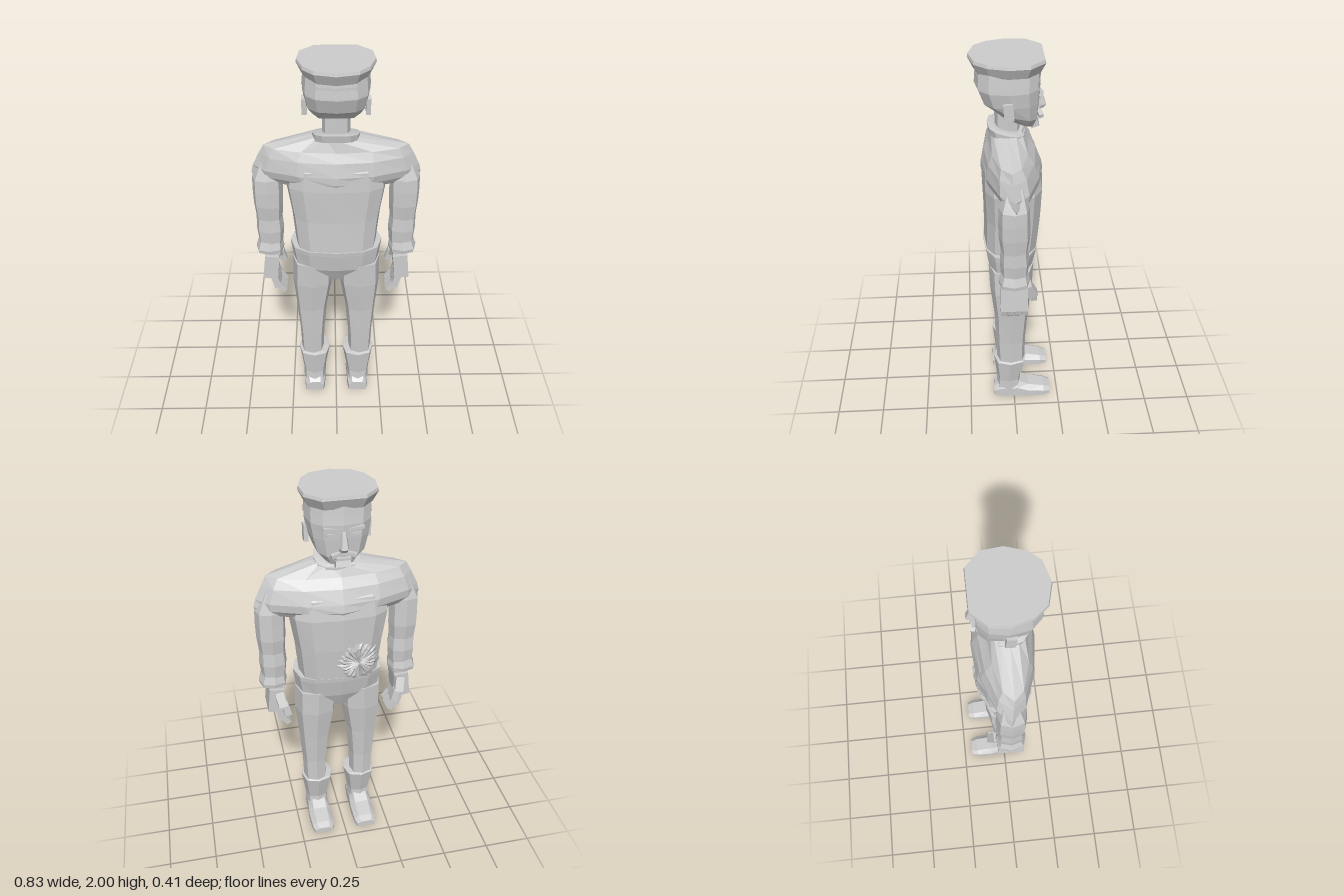
import * as THREE from 'three';

const grey = new THREE.MeshStandardMaterial({ color: 0xcccccc, flatShading: true });
grey.name = 'plain grey';

// Ring of n points: half width w, z extents zf (face side, negative) to zb, corner power p, slope dy/dz
function ring(y, w, zf, zb, { cx = 0, n = 12, p = 0.75, slope = 0 } = {}) {
  const pts = [], cz = (zf + zb) / 2, d = (zb - zf) / 2;
  const pow = (v) => Math.sign(v) * Math.pow(Math.abs(v) < 1e-9 ? 0 : Math.abs(v), p);
  for (let i = 0; i < n; i++) {
    const a = (i / n) * Math.PI * 2, z = cz + d * pow(Math.sin(a));
    pts.push([cx + w * pow(Math.cos(a)), y + slope * z, z]);
  }
  return pts;
}

// Closed skin through rings ordered from bottom to top
function loft(name, rings) {
  const n = rings[0].length, pos = [], idx = [];
  rings.forEach((r) => r.forEach((q) => pos.push(...q)));
  for (let k = 0; k < rings.length - 1; k++) {
    for (let i = 0; i < n; i++) {
      const j = (i + 1) % n, a = k * n, b = a + n;
      idx.push(a + i, b + i, b + j, a + i, b + j, a + j);
    }
  }
  const top = (rings.length - 1) * n;
  for (let i = 1; i < n - 1; i++) {
    idx.push(0, i, i + 1, top, top + i + 1, top + i);
  }
  return skin(name, pos, idx);
}

function skin(name, pos, idx) {
  const g = new THREE.BufferGeometry();
  g.setAttribute('position', new THREE.Float32BufferAttribute(pos, 3));
  g.setIndex(idx);
  return mesh(name, g);
}

function mesh(name, g) {
  const flat = g.toNonIndexed();
  flat.computeVertexNormals();
  const m = new THREE.Mesh(flat, grey);
  m.name = name;
  return m;
}

function box(name, size, at, rot = [0, 0, 0]) {
  const m = mesh(name, new THREE.BoxGeometry(...size));
  m.position.set(...at);
  m.rotation.set(...rot);
  return m;
}

// Rows are [y, halfWidth, zFront, zBack, centreX]
const rows = (list, opt = {}, s = 1) =>
  list.map(([y, w, f, b, cx = 0]) => ring(y, w, f, b, { ...opt, cx: cx * s }));

function buildBody() {
  const g = new THREE.Group();
  g.name = 'body';
  g.add(loft('jacket', rows([
    [1.02, 0.205, -0.122, 0.148], [1.2, 0.222, -0.138, 0.146], [1.38, 0.25, -0.145, 0.152],
    [1.48, 0.235, -0.128, 0.148], [1.55, 0.18, -0.08, 0.11],
  ], { p: 0.65 })));
  // Lens-shaped shoulders that thin out towards the sleeves
  g.add(loft('shoulders', [
    ring(1.385, 0.4, -0.13, 0.14, { p: 1.6 }), ring(1.42, 0.413, -0.146, 0.155, { p: 1.35 }),
    ring(1.46, 0.403, -0.138, 0.155, { p: 1.15 }), ring(1.53, 0.37, -0.11, 0.14, { p: 1.05 }),
    ring(1.575, 0.345, -0.075, 0.118, { p: 1.05 }), ring(1.635, 0.1, -0.05, 0.105, { p: 1 }),
  ]));
  g.add(loft('trouserSeat', rows([
    [0.81, 0.1, -0.06, 0.09], [0.9, 0.218, -0.1, 0.135], [1.0, 0.233, -0.122, 0.152], [1.025, 0.235, -0.125, 0.155],
  ], { p: 0.75 })));
  g.add(loft('collar', [
    ring(1.6, 0.11, -0.06, 0.115, { slope: 0.25 }), ring(1.635, 0.113, -0.06, 0.122, { slope: 0.25 }),
    ring(1.64, 0.09, -0.04, 0.1, { slope: 0.25 }),
  ]));
  g.add(loft('neck', rows([[1.6, 0.068, -0.035, 0.085], [1.77, 0.065, -0.03, 0.085]], { n: 8 })));
  g.add(crumple());
  return g;
}

// Crumpled pleated patch following the front of the jacket
function crumple() {
  let seed = 7;
  const rnd = () => (seed = (seed * 16807) % 2147483647) / 2147483647;
  const n = 44, bands = 4, pos = [], idx = [];
  for (let k = 0; k <= bands; k++) {
    for (let i = 0; i < n; i++) {
      const a = (i / n) * Math.PI * 2, r = (k / bands) * (0.095 + 0.03 * rnd());
      const x = -0.08 + r * Math.cos(a), y = 1.115 + r * Math.sin(a);
      const t = Math.min(Math.abs(x) / 0.215, 0.98);
      const base = -(0.122 + (y - 1.02) * 0.089) * Math.pow(1 - Math.pow(t, 3.1), 0.325);
      const lift = k === bands ? -0.005 : (i % 2) * 0.006 + 0.006 * rnd();
      pos.push(x, y, base - lift);
    }
  }
  for (let k = 0; k < bands; k++) {
    for (let i = 0; i < n; i++) {
      const j = (i + 1) % n, a = k * n, b = a + n;
      idx.push(a + i, b + j, b + i, a + i, a + j, b + j);
    }
  }
  return skin('crumpledPatch', pos, idx);
}

function buildHead() {
  const g = new THREE.Group();
  g.name = 'head';
  g.add(loft('skull', [
    ring(1.7, 0.085, -0.1, 0.085, { slope: 0.45 }), ring(1.735, 0.122, -0.118, 0.108, { slope: 0.28 }),
    ring(1.79, 0.143, -0.125, 0.145), ring(1.86, 0.155, -0.128, 0.172), ring(1.92, 0.15, -0.12, 0.172),
  ]));
  g.add(loft('capBand', [
    ring(1.885, 0.157, -0.13, 0.176, { slope: -0.1 }), ring(1.95, 0.15, -0.125, 0.168),
  ]));
  // Cap crown outline: flat at the face side, pointed at the rear
  const half = [[0.0, 0.203], [0.1, 0.177], [0.15, 0.12], [0.18, 0.025], [0.17, -0.07], [0.1, -0.142]];
  const outline = [...half, ...half.slice(1).reverse().map(([x, z]) => [-x, z])].reverse();
  const crown = (y, k) => outline.map(([x, z]) => [x * k, y, 0.025 + (z - 0.025) * k]);
  g.add(loft('capCrown', [crown(1.935, 0.86), crown(1.985, 1), crown(2, 0.98)]));

  // Face
  g.add(loft('nose', rows([
    [1.735, 0.022, -0.143, -0.1], [1.752, 0.024, -0.158, -0.1], [1.83, 0.012, -0.132, -0.1],
  ], { n: 6 })));
  g.add(box('mouth', [0.07, 0.012, 0.02], [0, 1.697, -0.121]));
  g.add(box('chin', [0.07, 0.035, 0.04], [0, 1.665, -0.1], [0.35, 0, 0]));
  for (const s of [1, -1]) {
    g.add(box('ear', [0.022, 0.08, 0.045], [s * 0.148, 1.778, 0.025], [0.08, 0, 0]));
    g.add(box('brow', [0.07, 0.014, 0.016], [s * 0.06, 1.842, -0.121], [0, s * 0.1, s * 0.15]));
    g.add(box('eye', [0.045, 0.014, 0.01], [s * 0.055, 1.815, -0.12], [0, s * 0.1, 0]));
    g.add(box('moustache', [0.06, 0.016, 0.022], [s * 0.03, 1.722, -0.124], [0, s * 0.2, s * -0.25]));
  }
  return g;
}

function buildArm(s) {
  const g = new THREE.Group();
  g.name = s > 0 ? 'leftArm' : 'rightArm';
  g.add(loft('sleeve', rows([
    [1.02, 0.062, -0.055, 0.075, 0.336], [1.1, 0.07, -0.062, 0.08, 0.336], [1.17, 0.066, -0.055, 0.075, 0.337],
    [1.25, 0.073, -0.065, 0.085, 0.338], [1.33, 0.075, -0.062, 0.085, 0.338], [1.4, 0.075, -0.06, 0.082, 0.336],
    [1.5, 0.045, -0.035, 0.05, 0.32],
  ], { n: 8 }, s)));
  g.add(loft('cuff', rows([
    [0.97, 0.07, -0.063, 0.085, 0.342], [0.99, 0.072, -0.066, 0.088, 0.342], [1.035, 0.06, -0.055, 0.075, 0.338],
  ], { n: 8 }, s)));
  g.add(box('wrist', [0.075, 0.05, 0.1], [s * 0.332, 0.955, 0.01]));
  g.add(box('palm', [0.075, 0.14, 0.135], [s * 0.338, 0.882, 0.012], [0, 0, s * 0.1]));
  // Fingers curl inwards
  for (let i = 0; i < 4; i++) {
    const z = 0.062 - i * 0.034, l = i === 0 || i === 3 ? 0.01 : 0;
    g.add(box('fingerBase', [0.036, 0.08, 0.029], [s * 0.318, 0.785, z], [0, 0, s * -0.25]));
    g.add(box('fingerTip', [0.028, 0.055, 0.026], [s * 0.291, 0.733 + l, z], [0, 0, s * -0.65]));
  }
  g.add(box('thumbBase', [0.045, 0.08, 0.05], [s * 0.315, 0.9, -0.068], [0.45, 0, s * -0.2]));
  g.add(box('thumbTip', [0.035, 0.07, 0.032], [s * 0.29, 0.85, -0.088], [0.1, 0, s * -0.25]));
  return g;
}

function buildLeg(s) {
  const g = new THREE.Group();
  g.name = s > 0 ? 'leftLeg' : 'rightLeg';
  g.add(loft('trouserLeg', rows([
    [0.26, 0.062, -0.06, 0.093, 0.133], [0.42, 0.067, -0.062, 0.1, 0.133], [0.6, 0.083, -0.075, 0.105, 0.132],
    [0.78, 0.107, -0.095, 0.125, 0.124], [0.92, 0.106, -0.1, 0.13, 0.12],
  ], { n: 8 }, s)));
  g.add(loft('bootShaft', rows([
    [0.05, 0.062, -0.04, 0.1, 0.125], [0.12, 0.062, -0.035, 0.095, 0.125], [0.275, 0.087, -0.07, 0.112, 0.123],
    [0.28, 0.07, -0.06, 0.095, 0.13],
  ], { n: 8 }, s)));
  // Shoe runs from toe to heel as upright slices: [z, half width, height]
  const slices = [[-0.205, 0.05, 0.035], [-0.17, 0.061, 0.05], [-0.08, 0.064, 0.07],
    [-0.02, 0.06, 0.1], [0.07, 0.058, 0.095], [0.113, 0.05, 0.06]];
  g.add(loft('shoe', slices.map(([z, w, h]) => [
    [-w, 0, z], [-w, h * 0.6, z], [-w * 0.6, h, z], [w * 0.6, h, z], [w, h * 0.6, z], [w, 0, z],
  ].map(([x, y, q]) => [x + s * 0.124, y, q]))));
  return g;
}

export function createModel() {
  const model = new THREE.Group();
  model.name = 'uniformedFigure';
  model.add(buildBody(), buildHead());
  for (const s of [1, -1]) model.add(buildArm(s), buildLeg(s));
  return model;
}
